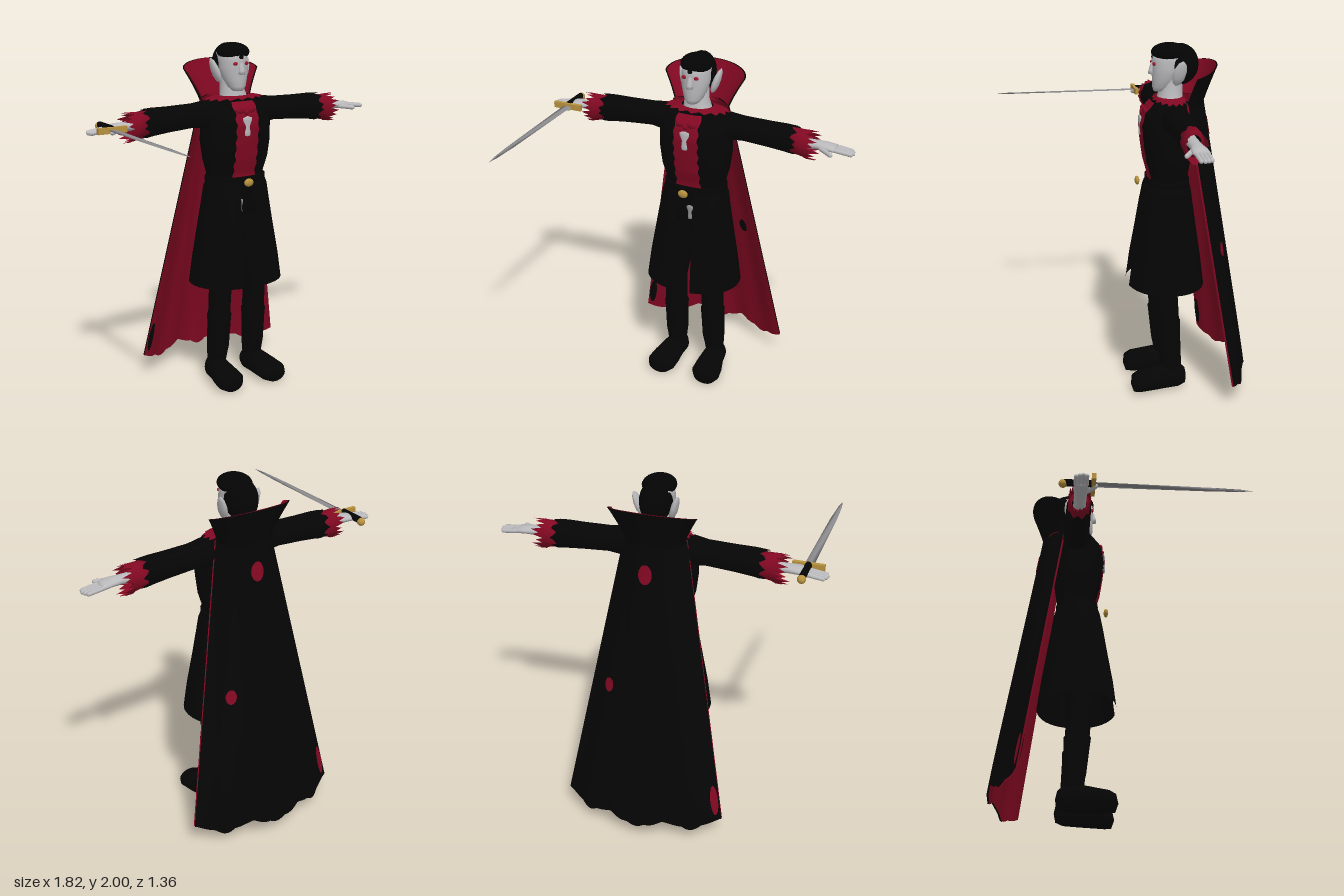
import * as THREE from 'three';
import { mergeVertices, mergeGeometries } from 'three/addons/utils/BufferGeometryUtils.js';

const mat = (name, color, side = THREE.FrontSide) => {
  const m = new THREE.MeshStandardMaterial({ color, side });
  m.name = name;
  return m;
};

// Grid surface from a point function p(u, v), u and v in 0..1
function surface(p, nu, nv, flip = false) {
  const pos = [], idx = [];
  for (let j = 0; j <= nv; j++) for (let i = 0; i <= nu; i++) pos.push(...p(i / nu, j / nv));
  for (let j = 0; j < nv; j++) for (let i = 0; i < nu; i++) {
    const a = j * (nu + 1) + i, b = a + 1, d = a + nu + 1, c = d + 1;
    if (flip) idx.push(a, c, b, a, d, c); else idx.push(a, b, c, a, c, d);
  }
  let g = new THREE.BufferGeometry();
  g.setAttribute('position', new THREE.Float32BufferAttribute(pos, 3));
  g.setIndex(idx);
  g = mergeVertices(g, 1e-5);
  g.computeVertexNormals();
  return g;
}
const pw = (v, e) => Math.sign(v) * Math.abs(v) ** e;

// Rounded cross-sections stacked along y; rows are [y, cx, cz, rx, rz]
function loft(rows, { n = 28, e = 1, gap = 0, jag = null } = {}) {
  return surface((u, v) => {
    const k = Math.round(v * (rows.length - 1));
    const [y, cx, cz, rx, rz] = rows[k];
    const t = gap + u * (Math.PI * 2 - 2 * gap);
    const s = u === 1 && !gap ? 0 : Math.sin(t), c = u === 1 && !gap ? 1 : Math.cos(t);
    return [cx + rx * pw(s, e), y + (jag ? jag(Math.round(u * n) % n, k) : 0), cz + rz * pw(c, e)];
  }, n, rows.length - 1);
}
function mirror(g) {
  const m = g.clone().scale(-1, 1, 1);
  const ix = m.index.array;
  for (let i = 0; i < ix.length; i += 3) [ix[i + 1], ix[i + 2]] = [ix[i + 2], ix[i + 1]];
  m.computeVertexNormals();
  return m;
}
const ball = (x, y, z, rx, ry, rz) =>
  new THREE.SphereGeometry(1, 20, 14).scale(rx, ry, rz).translate(x, y, z);
const alongX = g => g.rotateZ(-Math.PI / 2);   // local y becomes +x
const alongZ = g => g.rotateX(Math.PI / 2);    // local y becomes +z, local z becomes -y

export function createModel() {
  const model = new THREE.Group();
  const black = mat('black cloth', 0x050505, THREE.DoubleSide);
  const hairBlack = mat('black hair', 0x040404);
  const red = mat('crimson lining', 0x820822, THREE.DoubleSide);
  const skin = mat('pale skin', 0xb9b9bc);
  const steel = mat('steel', 0x8e8e91, THREE.DoubleSide);
  const gold = mat('gold', 0xb8923f);
  const eyeRed = mat('eye red', 0xa0142c);
  const add = (name, g, m) => {
    const mesh = new THREE.Mesh(g, m);
    mesh.name = name;
    model.add(mesh);
  };
  const pair = (name, g, m) => { add('left ' + name, g, m); add('right ' + name, mirror(g), m); };

  // Boots and legs
  pair('foot', alongZ(loft([[-0.33, 0.122, -0.07, 0, 0], [-0.32, 0.122, -0.07, 0.038, 0.048],
    [-0.28, 0.125, -0.08, 0.06, 0.074], [-0.2, 0.132, -0.078, 0.066, 0.075], [-0.12, 0.14, -0.068, 0.082, 0.065],
    [-0.05, 0.145, -0.06, 0.087, 0.058], [-0.015, 0.148, -0.052, 0.066, 0.047], [0, 0.148, -0.05, 0, 0]])), black);
  pair('leg', loft([[0.08, 0.125, -0.25, 0.05, 0.055], [0.16, 0.122, -0.24, 0.058, 0.06], [0.22, 0.12, -0.232, 0.066, 0.064],
    [0.38, 0.118, -0.22, 0.069, 0.07], [0.42, 0.118, -0.218, 0.072, 0.073], [0.425, 0.118, -0.218, 0.065, 0.066],
    [0.62, 0.115, -0.205, 0.067, 0.067], [0.8, 0.1, -0.21, 0.085, 0.078], [1.02, 0.085, -0.22, 0.085, 0.085]]), black);
  add('hips', loft([[0.94, 0, -0.225, 0, 0], [0.96, 0, -0.225, 0.1, 0.05], [1.05, 0, -0.225, 0.16, 0.066],
    [1.14, 0, -0.225, 0.165, 0.07], [1.22, 0, -0.225, 0.165, 0.1]]), black);

  // Coat skirt, open at the front
  add('coat skirt', loft([[0.625, -0.006, -0.22, 0.28, 0.22], [0.78, -0.005, -0.22, 0.26, 0.2], [0.95, -0.004, -0.222, 0.232, 0.172],
    [1.1, -0.002, -0.223, 0.208, 0.148], [1.19, 0, -0.225, 0.195, 0.133], [1.215, 0, -0.225, 0.185, 0.125],
    [1.22, 0, -0.225, 0.15, 0.1]], { n: 48, e: 0.93, gap: 0.2 }), black);

  // Torso and the jagged waistcoat lying on it
  const torso = [[1.2, 0, -0.23, 0.165, 0.105], [1.27, 0, -0.23, 0.175, 0.108], [1.35, 0, -0.225, 0.198, 0.125],
    [1.45, 0, -0.225, 0.21, 0.14], [1.55, 0, -0.222, 0.207, 0.147], [1.62, 0, -0.225, 0.2, 0.135],
    [1.67, 0, -0.235, 0.18, 0.105], [1.695, 0, -0.24, 0.13, 0.08], [1.7, 0, -0.24, 0, 0]];
  const E = 0.85;
  add('coat body', loft(torso, { n: 40, e: E }), black);
  const front = (x, y) => {
    const i = Math.max(1, torso.findIndex(r => r[0] >= y));
    const a = torso[i - 1], b = torso[i], f = (y - a[0]) / (b[0] - a[0]);
    const [, , cz, rx, rz] = a.map((q, k) => q + (b[k] - q) * f);
    const s = Math.min(1, (Math.abs(x) / rx) ** (1 / E));
    return cz + rz * Math.sqrt(1 - s * s) ** E;
  };
  add('waistcoat', surface((u, v) => {
    const y = 1.24 + 0.44 * v, k = Math.round(v * 32);
    const x = (u * 2 - 1) * (0.072 + 0.005 * Math.sin(k * 1.3));
    return [x - 0.004, y, front(x, y) + 0.005];
  }, 12, 32), red);
  add('belt', loft([[1.205, 0, -0.227, 0.172, 0.112], [1.208, 0, -0.227, 0.182, 0.12], [1.25, 0, -0.227, 0.182, 0.12],
    [1.253, 0, -0.227, 0.172, 0.112]], { n: 36, e: E }), black);
  add('buckle', ball(-0.01, 1.228, -0.06, 0.03, 0.024, 0.013), gold);
  add('throat bow', mergeGeometries([ball(-0.04, 1.635, -0.095, 0.03, 0.02, 0.012), ball(0.025, 1.635, -0.095, 0.03, 0.02, 0.012),
    ball(-0.008, 1.625, -0.085, 0.014, 0.016, 0.012)]), red);
  const pendant = (y, h, w, z) => loft([[0, 0, 0, 0, 0], [0.04, 0, 0, 0.6, 1], [0.2, 0, 0, 0.65, 1], [0.5, 0, 0, 0.5, 1],
    [0.78, 0, 0, 1, 1], [0.92, 0, 0, 1, 1], [1, 0, 0, 0, 0]], { n: 12 }).scale(w, h, 0.008).translate(-0.008, y, z);
  add('jabot', pendant(1.49, 0.115, 0.029, -0.075), skin);
  add('fob', pendant(1.025, 0.09, 0.02, -0.156), steel);

  // Ragged red collar around the neck
  add('ruffle', surface((u, v) => {
    const t = u * Math.PI * 2, k = Math.round(u * 48) % 48;
    const r = v ? 0 : 0.06 * (k % 3);
    return [(v ? 0.09 : 0.195) * Math.sin(t) * (1 - r), 1.685 + 0.022 * v + 0.005 * (k % 3) * (1 - v),
      -0.238 + (v ? 0.07 : 0.095) * Math.cos(t) * (1 - r)];
  }, 48, 1), red);

  // Head
  add('neck', loft([[1.66, 0, -0.24, 0.09, 0.08], [1.7, 0, -0.24, 0.08, 0.072], [1.74, -0.006, -0.245, 0.07, 0.065],
    [1.82, -0.006, -0.25, 0.066, 0.065]]), skin);
  add('face', loft([[1.73, -0.006, -0.185, 0, 0], [1.735, -0.006, -0.185, 0.03, 0.034], [1.76, -0.006, -0.2, 0.054, 0.058],
    [1.8, -0.006, -0.215, 0.068, 0.073], [1.835, -0.006, -0.225, 0.078, 0.085], [1.865, -0.006, -0.232, 0.081, 0.092],
    [1.9, -0.006, -0.24, 0.08, 0.102], [1.94, -0.006, -0.25, 0.078, 0.11], [1.975, -0.006, -0.26, 0.05, 0.08],
    [1.985, -0.006, -0.26, 0, 0]]), skin);
  add('nose', loft([[1.825, -0.006, -0.142, 0, 0], [1.832, -0.006, -0.137, 0.02, 0.018], [1.85, -0.006, -0.138, 0.017, 0.017],
    [1.89, -0.006, -0.146, 0.012, 0.012], [1.91, -0.006, -0.15, 0, 0]], { n: 16 }), skin);
  const ear = loft([[0, 0, 0, 0, 0], [0.015, 0, 0, 0.013, 0.022], [0.05, 0, 0, 0.02, 0.036], [0.09, 0, 0, 0.019, 0.036],
    [0.13, 0, 0, 0.012, 0.024], [0.152, 0, 0, 0, 0]], { n: 14 }).rotateX(-0.22).rotateZ(-0.3).translate(0.076, 1.775, -0.258);
  pair('ear', ear, skin);
  for (const x of [-0.042, 0.03]) add('eye', ball(x, 1.89, -0.146, 0.014, 0.01, 0.009), eyeRed);
  add('hair back', ball(-0.004, 1.88, -0.29, 0.084, 0.115, 0.11), hairBlack);
  add('hair top', ball(-0.004, 1.948, -0.235, 0.09, 0.052, 0.1), hairBlack);
  add('widow peak', ball(-0.006, 1.925, -0.15, 0.02, 0.02, 0.013), hairBlack);

  // Arms, with torn sleeves and hollow cuffs (local x is -y once turned)
  pair('sleeve', alongX(loft([[0.1, -1.605, -0.24, 0.075, 0.075], [0.19, -1.607, -0.24, 0.08, 0.078], [0.27, -1.607, -0.245, 0.068, 0.072],
    [0.42, -1.6, -0.245, 0.072, 0.07], [0.52, -1.595, -0.245, 0.078, 0.068], [0.575, -1.59, -0.245, 0.08, 0.066]],
    { jag: (i, k) => k === 5 ? 0.02 * Math.sin(i * 1.9) : 0 })), black);
  pair('cuff', alongX(loft([[0.61, -1.585, -0.245, 0.046, 0.04], [0.61, -1.585, -0.245, 0.068, 0.055],
    [0.52, -1.592, -0.245, 0.068, 0.058], [0.62, -1.582, -0.245, 0.076, 0.061], [0.665, -1.577, -0.245, 0.083, 0.061]],
    { n: 36, jag: (i, k) => k === 4 ? (i % 2 ? 0.03 : -0.015) + 0.015 * Math.sin(i) : 0 })), red);

  // Hands
  pair('palm', alongX(loft([[0.45, -1.585, -0.243, 0.03, 0.035], [0.66, -1.585, -0.243, 0.026, 0.034], [0.7, -1.587, -0.243, 0.024, 0.035],
    [0.75, -1.587, -0.242, 0.022, 0.044], [0.8, -1.582, -0.244, 0.018, 0.044], [0.825, -1.578, -0.245, 0, 0]])), skin);
  const finger = (a, b, r) => {
    const A = new THREE.Vector3(...a), B = new THREE.Vector3(...b), d = B.clone().sub(A);
    const q = new THREE.Quaternion().setFromUnitVectors(new THREE.Vector3(0, 1, 0), d.clone().normalize());
    const mid = A.add(B).multiplyScalar(0.5);
    return new THREE.CapsuleGeometry(r, d.length(), 4, 10).applyQuaternion(q).translate(mid.x, mid.y, mid.z);
  };
  const fingers = [0, 1, 2, 3].map(i => finger([0.79, 1.582, -0.275 + i * 0.02],
    [[0.885, 0.895, 0.9, 0.893][i], 1.57, -0.274 + i * 0.0185], 0.0118));
  fingers.push(finger([0.73, 1.58, -0.21], [0.795, 1.572, -0.168], 0.013));
  pair('fingers', mergeGeometries(fingers), skin);

  // Sword held in the right hand, pointing forward
  const sx = -0.79, sy = 1.585;
  add('blade', alongZ(loft([[-0.17, sx, -sy, 0.025, 0.005], [0.45, sx, -sy, 0.018, 0.004], [0.6, sx, -sy, 0.011, 0.004],
    [0.67, sx, -sy, 0, 0]], { n: 4 })), steel);
  add('guard', new THREE.BoxGeometry(0.17, 0.034, 0.022).translate(sx, sy, -0.18), gold);
  add('grip', alongZ(new THREE.CylinderGeometry(0.019, 0.019, 0.15, 14)).translate(sx, sy + 0.006, -0.26), black);
  add('pommel', ball(sx, sy, -0.34, 0.023, 0.023, 0.023), gold);

  // Cape: s runs across (-1..1), t from shoulders to hem
  const cape = (s, t, off = 0) => {
    const edge = -0.3 - 0.225 * t, depth = 0.12 + 0.033 * t;
    const hem = -0.045 * Math.abs(Math.sin(1.5 * Math.PI * (s + 1))) ** 2 - 0.012 * Math.abs(Math.sin(4.5 * Math.PI * (s + 1)));
    const fold = 0.006 * t * Math.cos(s * 14);
    return [(0.17 + 0.285 * t) * s - 0.008, 1.69 - 1.56 * t + hem * t ** 14,
      edge - depth * Math.cos(s * Math.PI / 2) + fold - off];
  };
  add('cape outside', surface((u, v) => cape(u * 2 - 1, v, 0.01), 72, 40), black);
  add('cape lining', surface((u, v) => cape(u * 2 - 1, v), 72, 40, true), red);

  // Worn patches showing the other colour on both faces of the cape
  for (const [s, t, rs, rt] of [[0.04, 0.1, 0.19, 0.034], [0.63, 0.53, 0.085, 0.026], [-0.945, 0.925, 0.045, 0.055]]) {
    const patch = off => surface((u, v) => {
      const a = u * Math.PI * 2;
      return cape(s + rs * v * Math.cos(a), t + rt * v * Math.sin(a), off);
    }, 20, 4);
    add('outer patch', patch(0.014), red);
    add('inner patch', patch(-0.004), black);
  }

  // Tall flared collar, its wings swept back
  const collar = off => (u, v) => {
    const a = (u * 2 - 1) * 1.7, c = Math.cos(a), w = v ** 1.2;
    return [(0.15 + 0.08 * w + off) * Math.sin(a) - 0.008, 1.67 + v * (0.172 + 0.048 * c), -0.315 - 0.045 * v - (0.1 + 0.028 * w + off) * c];
  };
  add('collar lining', surface(collar(0), 40, 8), red);
  add('collar outside', surface(collar(0.008), 40, 8, true), black);
  return model;
}
